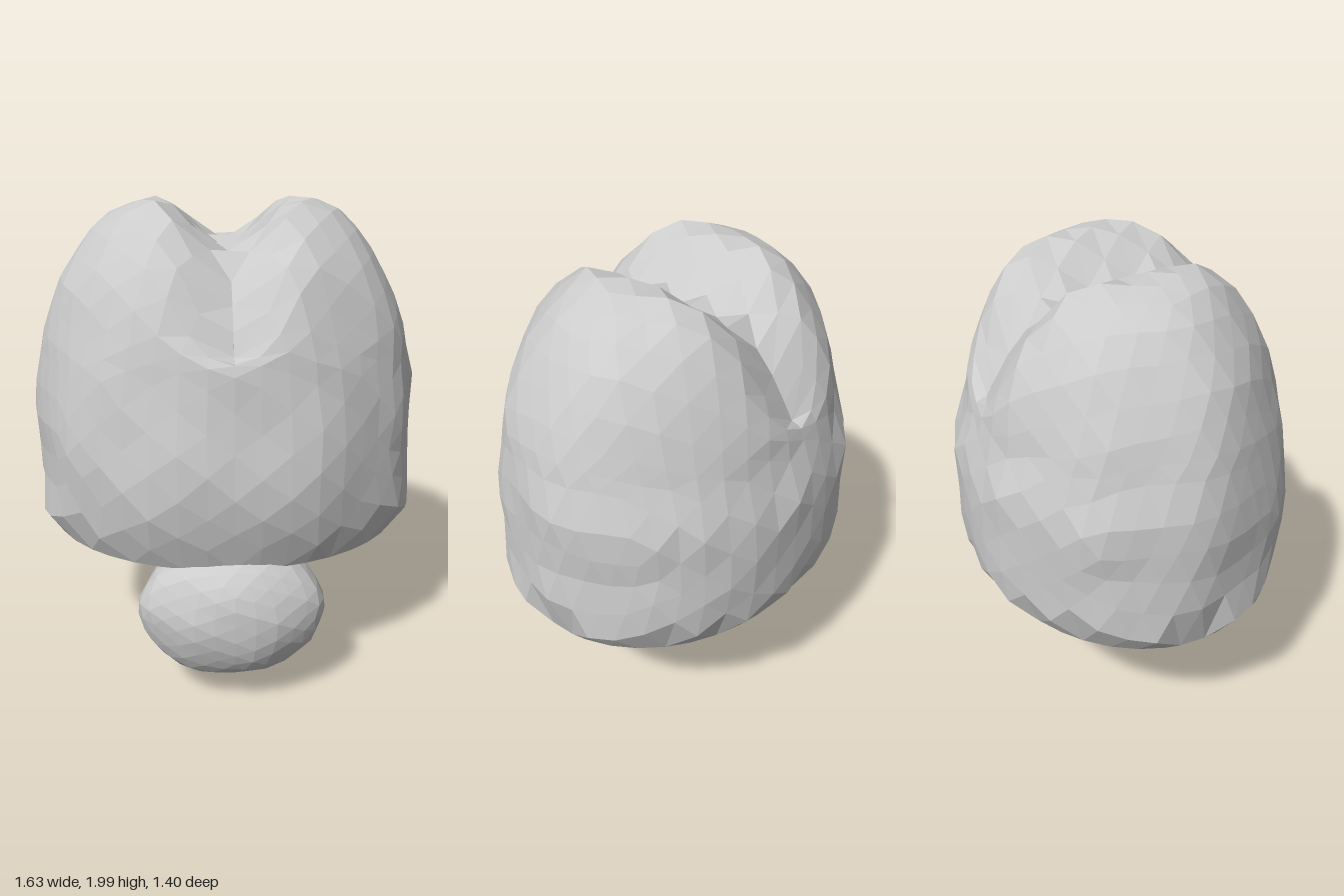
import * as THREE from 'three';

const material = new THREE.MeshStandardMaterial({ color: 0xcccccc, flatShading: true });
const { lerp, smoothstep } = THREE.MathUtils;

// Repeatable bumpiness, about -1..1
const noise = (x, y, z, f) =>
  0.6 * Math.sin(f * (x + 0.4 * y) + 1) * Math.cos(f * (0.9 * y - 0.5 * z)) + 0.5 * Math.sin(f * (1.1 * z - 0.6 * x) + 2);

// Side walls from shoulder to rim: [y, half width x, front z, back z]
const walls = [
  [1.4, 0.755, 0.615, 0.62],
  [1.2, 0.81, 0.645, 0.69],
  [1.0, 0.795, 0.68, 0.695],
  [0.85, 0.805, 0.665, 0.695],
  [0.72, 0.82, 0.63, 0.68],
  [0.66, 0.8, 0.615, 0.65],
  [0.62, 0.75, 0.59, 0.61],
];

function wallAt(y) {
  let i = 0;
  while (i < walls.length - 2 && y < walls[i + 1][0]) i++;
  const k = (walls[i][0] - y) / (walls[i][0] - walls[i + 1][0]);
  return walls[i].map((value, j) => lerp(value, walls[i + 1][j], k));
}

// A faceted ball remapped to a domed crown, side walls and a hollow underside
function cerebrumGeometry() {
  const g = new THREE.IcosahedronGeometry(1, 7);
  const p = g.attributes.position;
  const v = new THREE.Vector3();
  const shoulder = 1.3, rim = 2.05;
  for (let i = 0; i < p.count; i++) {
    v.fromBufferAttribute(p, i);
    let polar = Math.acos(THREE.MathUtils.clamp(v.y, -1, 1));
    // Pull nearby corners onto the rim so it stays crisp
    if (Math.abs(polar - rim) < 0.07) polar = rim;
    let y, t = 1;
    if (polar < shoulder) {
      t = Math.sin((polar / shoulder) * Math.PI / 2);
      const w = Math.max(0, (t - 0.37) / 0.63);
      y = 1.4 + 0.59 * Math.pow(Math.max(0, 1 - w * w), 0.7);
    } else if (polar <= rim) {
      y = lerp(1.4, 0.62, (polar - shoulder) / (rim - shoulder));
    } else {
      t = (Math.PI - polar) / (Math.PI - rim);
      y = 0.62 + 0.2 * (1 - t * t * t);
    }
    const [, wx, zf, zb] = wallAt(polar > rim ? 0.62 : Math.min(y, 1.4));
    const flat = Math.hypot(v.x, v.z) || 1;
    let x = (wx * t * v.x) / flat;
    let z = ((v.z > 0 ? zf : zb) * t * v.z) / flat;
    const upper = polar < rim;
    const rough = upper ? smoothstep(y, 0.62, 0.8) : 0;
    const k = 1 + rough * t * 0.022 * noise(x, y, z, 13);
    x *= k;
    z *= k;
    if (upper) {
      // Long groove parting the two hemispheres
      const height = smoothstep(y, 1.4, 1.72);
      if (height > 0 && Math.abs(x) < 0.07) x = 0;
      const across = Math.max(0, 1 - Math.abs(x) / 0.28);
      y += rough * 0.014 * noise(z, x, y, 15);
      y -= 0.2 * height * across * across * (3 - 2 * across);
    }
    p.setXYZ(i, x, y, z);
  }
  g.computeVertexNormals();
  return g;
}

function cerebellumGeometry() {
  const g = new THREE.IcosahedronGeometry(1, 4);
  const p = g.attributes.position;
  const v = new THREE.Vector3();
  for (let i = 0; i < p.count; i++) {
    v.fromBufferAttribute(p, i);
    const k = 1 + 0.03 * noise(v.x, v.y, v.z, 7);
    // Slightly fuller above than below
    const taper = 1 + 0.06 * v.y;
    p.setXYZ(i, 0.38 * v.x * k * taper, 0.293 * v.y * k, 0.226 * v.z * k * taper);
  }
  g.computeVertexNormals();
  return g;
}

export function createModel() {
  const model = new THREE.Group();
  const add = (name, geometry) => {
    const mesh = new THREE.Mesh(geometry, material);
    mesh.name = name;
    model.add(mesh);
    return mesh;
  };

  add('cerebrum', cerebrumGeometry());
  add('cerebellum', cerebellumGeometry()).position.set(0, 0.395, 0.485);

  // Stem leaning back as it rises
  const stem = add('brainStem', new THREE.CylinderGeometry(0.132, 0.132, 0.6, 20));
  stem.position.set(0, 0.328, 0.23);
  stem.rotation.x = -0.37;

  return model;
}
